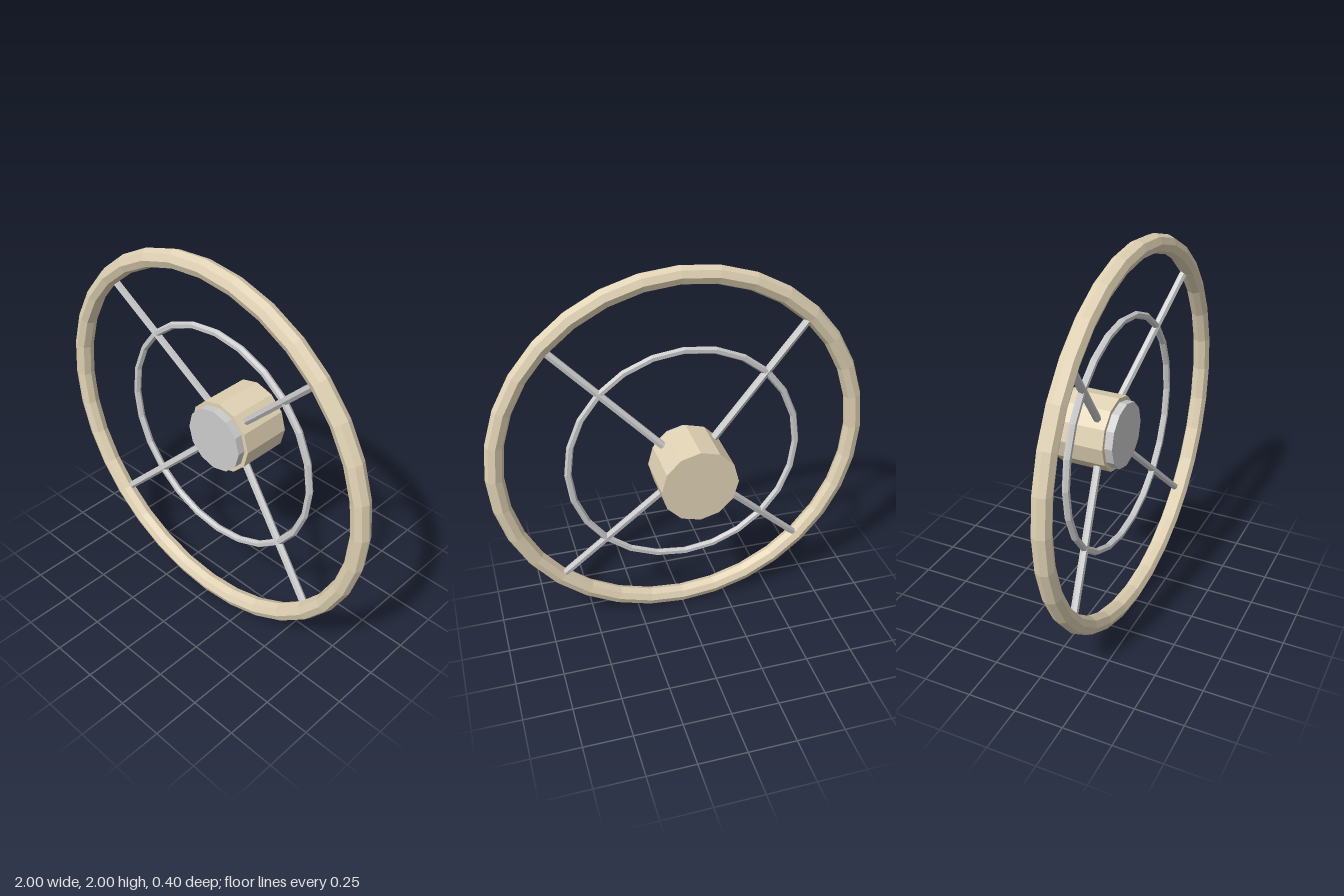
import * as THREE from 'three';

const paint = (color) => new THREE.MeshStandardMaterial({ color, flatShading: true });

export function createModel() {
  const group = new THREE.Group();
  const tan = paint(0xe0d2b4);
  const grey = paint(0xcccccc);

  const add = (name, geometry, material, z = 0) => {
    const mesh = new THREE.Mesh(geometry, material);
    mesh.name = name;
    mesh.position.set(0, 1, z);
    group.add(mesh);
    return mesh;
  };

  // Outer grip rim and the thin inner ring in front of the spokes
  add('rim', new THREE.TorusGeometry(0.9525, 0.0475, 8, 32), tan, 0.152);
  add('innerRing', new THREE.TorusGeometry(0.6, 0.0185, 6, 24), grey, 0.083);

  // Cylinder lying along z between two depths
  const drum = (radius, back, front) =>
    new THREE.CylinderGeometry(radius, radius, front - back, 12)
      .rotateX(Math.PI / 2)
      .translate(0, 0, (back + front) / 2);
  add('hub', drum(0.195, -0.2, 0.07), tan);
  add('hubCap', drum(0.173, 0.05, 0.112), grey);

  // Four diagonal spokes sloping forward from the hub to the rim
  const up = new THREE.Vector3(0, 1, 0);
  for (const sx of [1, -1]) {
    for (const sy of [1, -1]) {
      const start = new THREE.Vector3(sx * 0.12, sy * 0.12, 0.012);
      const end = new THREE.Vector3(sx * 0.655, sy * 0.655, 0.138);
      const axis = end.clone().sub(start);
      const spoke = add('spoke', new THREE.CylinderGeometry(0.02, 0.02, axis.length(), 6), grey);
      spoke.quaternion.setFromUnitVectors(up, axis.normalize());
      spoke.position.add(start.add(end).multiplyScalar(0.5));
    }
  }
  return group;
}
